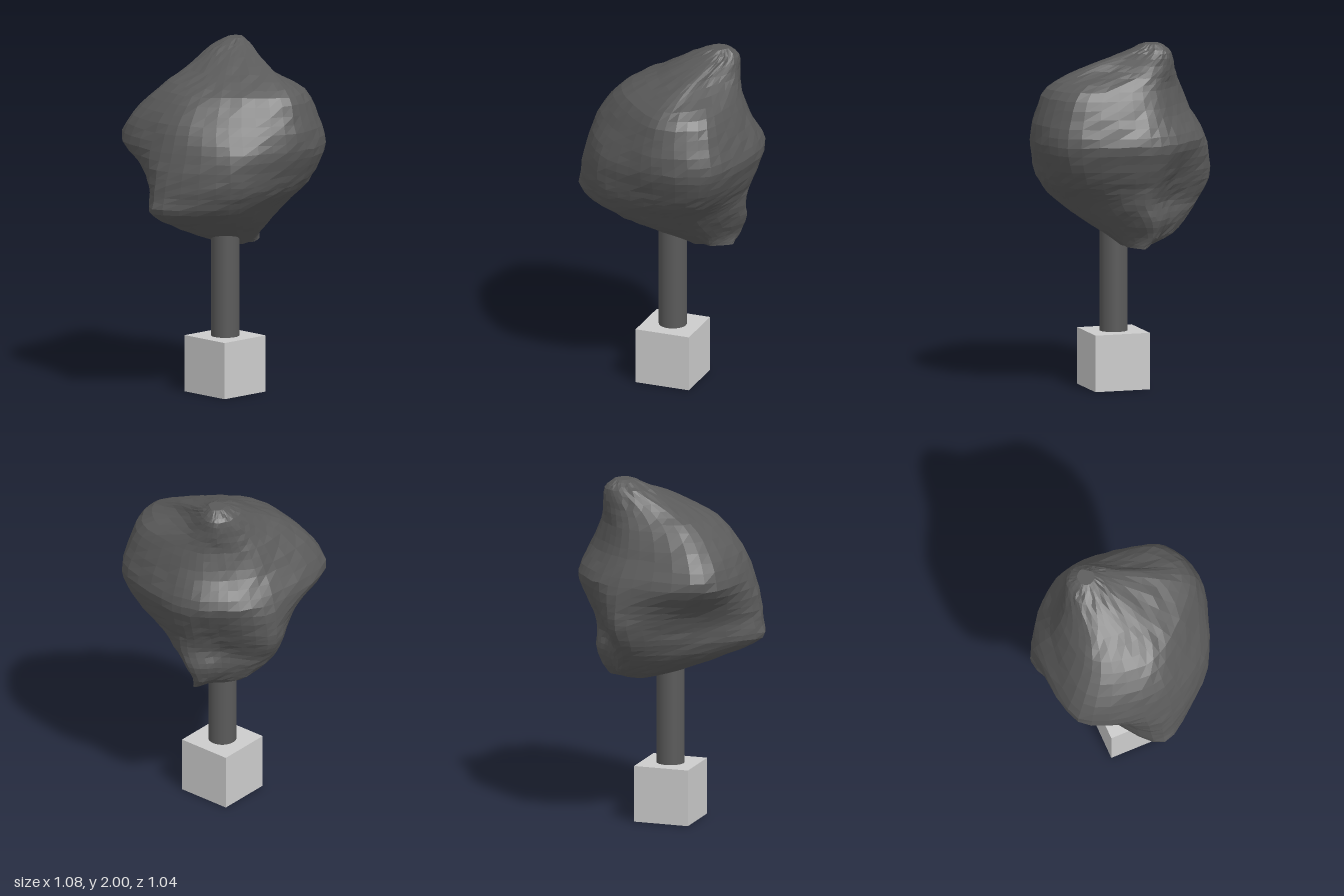
import * as THREE from 'three';

const AROUND = 40, UP = 33;

// Directions of the rock's main ridges and faces, in degrees from +x towards +z
const DIRECTIONS = [-5, 45, 80, 128, 180, 232, 288, 325];

// Rock cross-sections: height, centre x, centre z, then one radius for each direction
const SECTIONS = [
  [0.835, 0.20, -0.05, 0.16, 0.08, 0.05, 0.08, 0.10, 0.09, 0.08, 0.09],
  [0.90, 0.15, -0.08, 0.24, 0.17, 0.17, 0.20, 0.24, 0.19, 0.21, 0.18],
  [1.00, 0.05, -0.05, 0.38, 0.29, 0.28, 0.32, 0.39, 0.29, 0.36, 0.32],
  [1.10, 0, 0, 0.44, 0.37, 0.33, 0.40, 0.54, 0.35, 0.49, 0.38],
  [1.20, 0, 0, 0.46, 0.47, 0.43, 0.46, 0.53, 0.37, 0.54, 0.42],
  [1.30, 0, 0, 0.50, 0.54, 0.48, 0.48, 0.52, 0.43, 0.54, 0.47],
  [1.45, 0, 0, 0.535, 0.59, 0.53, 0.46, 0.48, 0.57, 0.515, 0.53],
  [1.60, 0, 0, 0.475, 0.55, 0.51, 0.38, 0.42, 0.51, 0.43, 0.44],
  [1.75, 0.03, 0, 0.38, 0.45, 0.45, 0.30, 0.32, 0.38, 0.36, 0.37],
  [1.85, 0.10, -0.05, 0.265, 0.23, 0.32, 0.20, 0.19, 0.24, 0.26, 0.29],
  [1.95, 0.22, -0.13, 0.13, 0.11, 0.13, 0.13, 0.14, 0.13, 0.13, 0.14],
  [2.00, 0.25, -0.14, 0.05, 0.04, 0.05, 0.05, 0.05, 0.05, 0.05, 0.05],
];

function seeded(seed) {
  return () => {
    seed = (seed * 16807) % 2147483647;
    return seed / 2147483647;
  };
}

// Smooth loops through the cross-sections, then faceted with a slight roughness
function rockGeometry() {
  const random = seeded(7);
  const rings = SECTIONS.map(([y, cx, cz, ...radii]) => {
    const points = radii.map((r, k) => {
      const a = THREE.MathUtils.degToRad(DIRECTIONS[k]);
      return new THREE.Vector3(cx + r * Math.cos(a), y, cz + r * Math.sin(a));
    });
    return new THREE.CatmullRomCurve3(points, true, 'catmullrom', 0.45);
  });
  const positions = [], index = [];
  for (let i = 0; i < AROUND; i++) {
    const column = new THREE.CatmullRomCurve3(
      rings.map((ring) => ring.getPoint(i / AROUND)), false, 'catmullrom', 0.45);
    for (let j = 0; j <= UP; j++) {
      const p = column.getPoint(j / UP);
      if (j > 0 && j < UP) {
        const rough = 1 + (random() - 0.5) * 0.014;
        p.x *= rough;
        p.z *= rough;
        p.y += (random() - 0.5) * 0.008;
      }
      positions.push(p.x, p.y, p.z);
    }
  }
  const id = (i, j) => (i % AROUND) * (UP + 1) + j;
  const bottom = AROUND * (UP + 1), top = bottom + 1;
  const [first, last] = [SECTIONS[0], SECTIONS[SECTIONS.length - 1]];
  positions.push(first[1], first[0], first[2], last[1], last[0], last[2]);
  for (let i = 0; i < AROUND; i++) {
    for (let j = 0; j < UP; j++) {
      const a = id(i, j), b = id(i, j + 1), c = id(i + 1, j + 1), d = id(i + 1, j);
      index.push(a, b, d, b, c, d);
    }
    index.push(bottom, id(i, 0), id(i + 1, 0));
    index.push(top, id(i + 1, UP), id(i, UP));
  }
  const indexed = new THREE.BufferGeometry();
  indexed.setAttribute('position', new THREE.Float32BufferAttribute(positions, 3));
  indexed.setIndex(index);
  const geometry = indexed.toNonIndexed();
  geometry.computeVertexNormals();
  return geometry;
}

export function createModel() {
  const darkGrey = new THREE.MeshStandardMaterial({ color: 0x5a5a5a });
  darkGrey.name = 'dark grey';
  const lightGrey = new THREE.MeshStandardMaterial({ color: 0xcccccc });
  lightGrey.name = 'light grey';

  const model = new THREE.Group();
  model.name = 'rockOnStand';
  const add = (name, geometry, material, x, y, z) => {
    const mesh = new THREE.Mesh(geometry, material);
    mesh.name = name;
    mesh.position.set(x, y, z);
    model.add(mesh);
  };

  // Stand
  add('base', new THREE.BoxGeometry(0.325, 0.325, 0.325), lightGrey, 0.02, 0.1625, 0.01);
  add('post', new THREE.CylinderGeometry(0.08, 0.08, 0.7, 32), darkGrey, 0.02, 0.67, 0.01);

  // Boulder
  add('rock', rockGeometry(), darkGrey, 0, 0, 0);
  return model;
}
